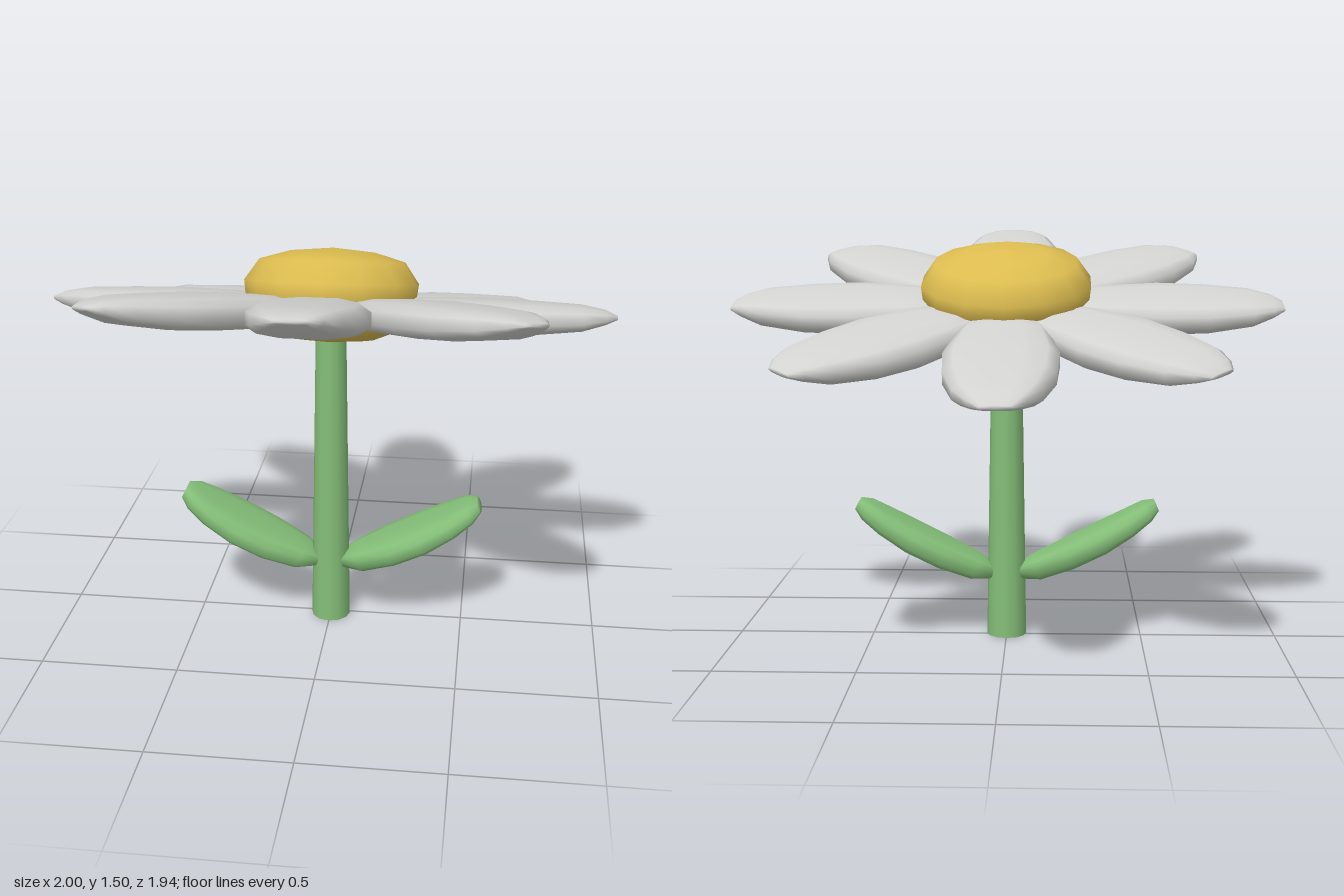
import * as THREE from 'three';

const petalWhite = new THREE.MeshStandardMaterial({ name: 'petal white', color: 0xd2d2d0 });
const centreYellow = new THREE.MeshStandardMaterial({ name: 'centre yellow', color: 0xdcbc50 });
const leafGreen = new THREE.MeshStandardMaterial({ name: 'leaf green', color: 0x84be78 });

// Rounds a circle coordinate towards a square, giving blades a thick rim
const squarer = (v) => Math.sign(v) * Math.abs(v) ** 0.7;

// Closed blade along +x from oval sections [x, halfWidth, halfThickness, lift]
function blade(sections, sides = 12) {
  const pos = [], index = [];
  for (const [x, w, t, lift] of sections) {
    for (let j = 0; j < sides; j++) {
      const a = ((j + 0.5) / sides) * Math.PI * 2;
      pos.push(x, lift + t * squarer(Math.sin(a)), w * squarer(Math.cos(a)));
    }
  }
  const last = sections.length - 1;
  for (let i = 0; i < last; i++) {
    for (let j = 0; j < sides; j++) {
      const k = (j + 1) % sides;
      const a = i * sides + j, b = i * sides + k, c = a + sides, d = b + sides;
      index.push(a, c, b, b, c, d);
    }
  }
  // End caps
  const start = pos.length / 3, end = start + 1;
  pos.push(sections[0][0], sections[0][3], 0, sections[last][0], sections[last][3], 0);
  for (let j = 0; j < sides; j++) {
    const k = (j + 1) % sides;
    index.push(start, j, k, end, last * sides + k, last * sides + j);
  }
  const geo = new THREE.BufferGeometry();
  geo.setAttribute('position', new THREE.Float32BufferAttribute(pos, 3));
  geo.setIndex(index);
  geo.computeVertexNormals();
  return geo;
}

function part(name, geometry, material, parent) {
  const mesh = new THREE.Mesh(geometry, material);
  mesh.name = name;
  parent.add(mesh);
  return mesh;
}

export function createModel() {
  const model = new THREE.Group();
  model.name = 'daisy';

  // Tapered stem
  part('stem', new THREE.CylinderGeometry(0.055, 0.073, 1.16, 12), leafGreen, model)
    .position.set(0, 0.58, 0.01);

  // Two leaves, one on each side
  const leafGeo = blade([
    [0, 0.045, 0.026, 0], [0.07, 0.09, 0.046, -0.012], [0.2, 0.13, 0.052, -0.018],
    [0.33, 0.138, 0.052, -0.018], [0.45, 0.118, 0.046, -0.01], [0.53, 0.088, 0.038, 0],
    [0.57, 0.05, 0.022, 0.005],
  ]);
  for (const side of [1, -1]) {
    const holder = new THREE.Group();
    holder.name = side > 0 ? 'leftLeaf' : 'rightLeaf';
    holder.rotation.y = side > 0 ? 0 : Math.PI;
    holder.position.set(side * 0.045, 0.235, 0.014);
    part('leaf', leafGeo, leafGreen, holder).rotation.z = 0.46;
    model.add(holder);
  }

  // Flower head, raised at the front
  const head = new THREE.Group();
  head.name = 'flowerHead';
  head.position.set(0, 1.23, 0);
  head.rotation.x = -THREE.MathUtils.degToRad(15);
  model.add(head);

  // Ring of eight petals
  const petalGeo = blade([
    [0.2, 0.13, 0.045, -0.005], [0.35, 0.165, 0.058, -0.01], [0.55, 0.198, 0.062, -0.01],
    [0.72, 0.187, 0.058, -0.01], [0.88, 0.145, 0.046, -0.005], [0.96, 0.095, 0.026, 0],
    [1.0, 0.055, 0.008, 0],
  ]);
  for (let i = 0; i < 8; i++) {
    part('petal' + (i + 1), petalGeo, petalWhite, head).rotation.y = (i * Math.PI) / 4;
  }

  // Domed centre
  const profile = [
    [0, -0.125], [0.16, -0.11], [0.26, -0.07], [0.305, 0.03],
    [0.312, 0.09], [0.26, 0.165], [0.15, 0.197], [0, 0.21],
  ].map(([r, y]) => new THREE.Vector2(r, y));
  part('centre', new THREE.LatheGeometry(profile, 14), centreYellow, head);

  return model;
}
